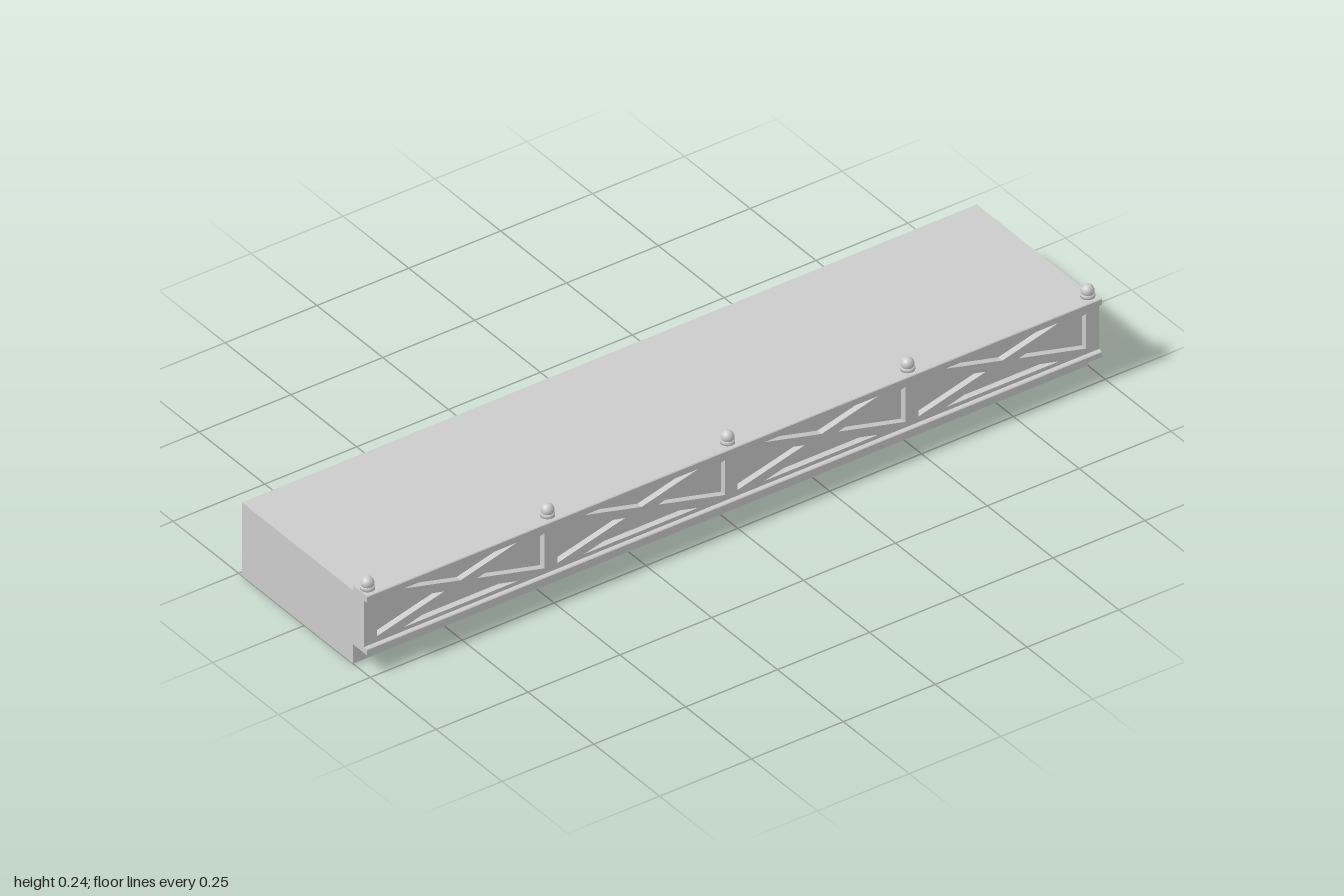
import * as THREE from 'three';

export function createModel() {
  const root = new THREE.Group();
  root.name = 'bridgeSection';
  const mat = new THREE.MeshStandardMaterial({ color: 0xcccccc });
  const thin = new THREE.MeshStandardMaterial({ color: 0xcccccc, side: THREE.DoubleSide });

  const add = (name, geo, material = mat, parent = root) => {
    const mesh = new THREE.Mesh(geo, material);
    mesh.name = name;
    parent.add(mesh);
    return mesh;
  };
  const shapeOf = (pts) => new THREE.Shape(pts.map(([x, y]) => new THREE.Vector2(x, y)));

  // Hollow deck: thin walls, open at the back
  const H = 0.197, zF = 0.184, zB = -0.238, D = zF - zB, zMid = (zF + zB) / 2;
  for (const [name, y] of [['deckTop', H], ['deckFloor', 0]]) {
    const m = add(name, new THREE.PlaneGeometry(2, D), thin);
    m.rotation.x = -Math.PI / 2;
    m.position.set(0, y, zMid);
  }
  for (const s of [-1, 1]) {
    const m = add(s > 0 ? 'leftEndWall' : 'rightEndWall', new THREE.PlaneGeometry(D, H), thin);
    m.rotation.y = s * Math.PI / 2;
    m.position.set(s, H / 2, zMid);
  }
  add('frontWall', new THREE.PlaneGeometry(2, H), thin).position.set(0, H / 2, zF);

  // Girder flanges and web, one profile (z, y) swept along x
  const web = 0.21, face = 0.226, lip = 0.238, b = 0.002;
  const profile = shapeOf([
    [zF, 0.052], [lip - b, 0.052], [lip, 0.052 + b], [lip, 0.068 - b], [lip - b, 0.068],
    [web, 0.068], [web, 0.192], [lip - b, 0.192], [lip, 0.192 + b],
    [lip, 0.21 - b], [lip - b, 0.21], [zF, 0.21],
  ]);
  const girder = new THREE.ExtrudeGeometry(profile, { depth: 2, bevelEnabled: false });
  girder.rotateY(-Math.PI / 2); // shape x becomes z, sweep runs to -x
  girder.translate(1, 0, 0);
  add('girder', girder);

  // Front lattice: posts and cross braces left between triangular openings
  const panel = shapeOf([[-1, 0.068], [1, 0.068], [1, 0.192], [-1, 0.192]]);
  const yc = 0.13;
  for (const xc of [-0.737, -0.245, 0.245, 0.737]) {
    for (const s of [-1, 1]) {
      const side = [[xc + s * 0.228, yc - 0.047], [xc + s * 0.228, yc + 0.047], [xc + s * 0.045, yc]];
      const flat = [[xc - 0.155, yc + s * 0.052], [xc + 0.155, yc + s * 0.052], [xc, yc + s * 0.012]];
      for (const tri of [side, flat]) {
        panel.holes.push(new THREE.Path(tri.map(([x, y]) => new THREE.Vector2(x, y))));
      }
    }
  }
  const lattice = new THREE.ExtrudeGeometry(panel, { depth: face - web, bevelEnabled: false });
  lattice.translate(0, 0, web);
  add('crossBracedPanel', lattice);

  // Ball finials above each post
  const collar = new THREE.LatheGeometry([
    [0, 0], [0.017, 0], [0.017, 0.007], [0.014, 0.01], [0, 0.01],
  ].map(([x, y]) => new THREE.Vector2(x, y)), 20);
  const ball = new THREE.SphereGeometry(0.0155, 20, 14);
  for (const x of [-0.98, -0.49, 0, 0.49, 0.98]) {
    const finial = new THREE.Group();
    finial.name = 'finial';
    finial.position.set(x, 0.209, 0.211);
    add('finialCollar', collar, mat, finial);
    add('finialBall', ball, mat, finial).position.y = 0.0165;
    root.add(finial);
  }
  return root;
}
